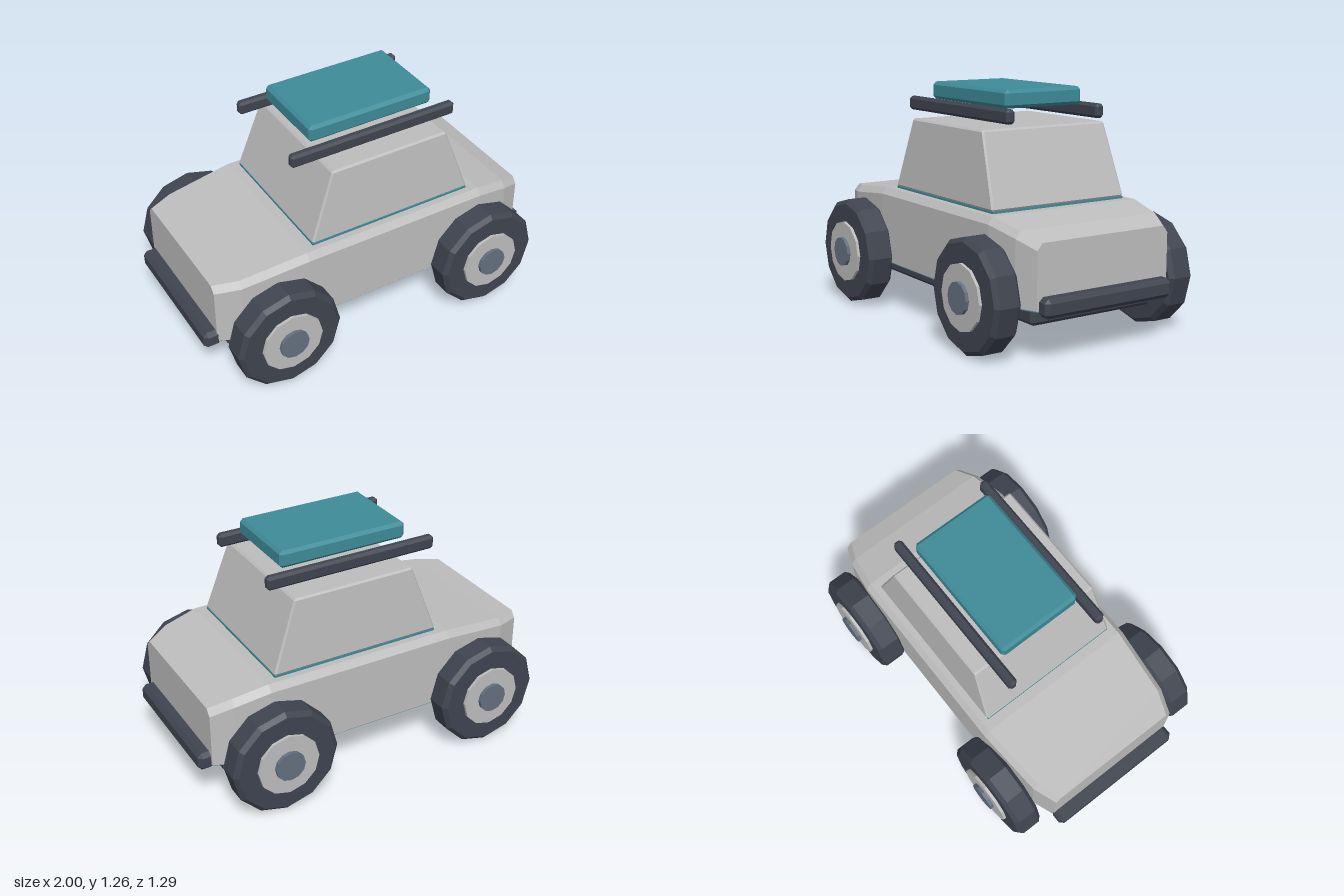
import * as THREE from 'three';
import { ConvexGeometry } from 'three/addons/geometries/ConvexGeometry.js';

const material = (name, color) => {
  const m = new THREE.MeshStandardMaterial({ color });
  m.name = name;
  return m;
};

// Box between two corners with chamfered edges; shape() can move each corner
function chamferBox(min, max, c, shape = (p) => p) {
  const points = [];
  for (const sx of [0, 1]) for (const sy of [0, 1]) for (const sz of [0, 1]) {
    const side = [sx, sy, sz];
    for (let flush = 0; flush < 3; flush++) {
      const p = side.map((s, i) => (s ? max[i] : min[i]) + (i === flush ? 0 : s ? -c : c));
      points.push(shape(new THREE.Vector3(...p)));
    }
  }
  return new ConvexGeometry(points);
}

// Faceted skin through rings of equal length, capped at both ends
function loft(rings) {
  const pos = [];
  const tri = (a, b, c) => pos.push(...a, ...b, ...c);
  const n = rings[0].length;
  for (let i = 0; i < rings.length - 1; i++) {
    for (let j = 0; j < n; j++) {
      const k = (j + 1) % n;
      const [a, b, c, d] = [rings[i][j], rings[i][k], rings[i + 1][k], rings[i + 1][j]];
      tri(a, b, c);
      tri(a, c, d);
    }
  }
  const first = rings[0], last = rings[rings.length - 1];
  for (let j = 1; j < n - 1; j++) {
    tri(first[0], first[j + 1], first[j]);
    tri(last[0], last[j], last[j + 1]);
  }
  const g = new THREE.BufferGeometry();
  g.setAttribute('position', new THREE.Float32BufferAttribute(pos, 3));
  g.computeVertexNormals();
  return g;
}

export function createModel() {
  const car = new THREE.Group();
  car.name = 'car';
  const paint = material('light grey paint', 0xbdbdbd);
  const teal = material('teal', 0x3d8b98);
  const dark = material('dark rubber', 0x3f444f);
  const cap = material('slate metal', 0x647080);

  const add = (name, geometry, mat, parent = car) => {
    const mesh = new THREE.Mesh(geometry, mat);
    mesh.name = name;
    parent.add(mesh);
    return mesh;
  };

  // Body stations along the length: x, half width, top height
  const stations = [
    [-0.93, 0.39, 0.62], [-0.8, 0.44, 0.632], [-0.43, 0.473, 0.675],
    [0.63, 0.473, 0.675], [0.82, 0.445, 0.635], [0.935, 0.4, 0.592],
  ];
  const bottom = 0.267;
  add('body', loft(stations.map(([x, w, top]) => [
    [x, bottom, w], [x, bottom, -w], [x, top - 0.035, -w],
    [x, top, -w + 0.03], [x, top, w - 0.03], [x, top - 0.035, w],
  ])), paint);

  // Teal floor under the body
  add('floor', loft(stations.map(([x, w]) => [
    [x, 0.26, w - 0.006], [x, 0.26, -w + 0.006],
    [x, bottom + 0.001, -w + 0.006], [x, bottom + 0.001, w - 0.006],
  ])), teal);

  // Underframe
  add('chassis', chamferBox([-0.86, 0.17, -0.373], [0.86, 0.27, 0.373], 0.018), dark);

  // Cabin narrowing towards the roof, with a thin teal seam below it
  const cabinShape = (p) => {
    const t = (p.y - 0.685) / (1.07 - 0.685);
    p.x = 0.1 + (p.x - 0.1) * (1 - 0.29 * t);
    p.z *= 1 - 0.075 * t;
    return p;
  };
  add('cabin', chamferBox([-0.38, 0.685, -0.412], [0.58, 1.07, 0.412], 0.01, cabinShape), paint);
  const seam = add('cabinSeam', new THREE.BoxGeometry(0.95, 0.012, 0.815), teal);
  seam.position.set(0.1, 0.68, 0);

  // Roof rails and luggage
  for (const s of [1, -1]) {
    const z = 0.277 * s;
    add(s > 0 ? 'frontRail' : 'backRail',
      chamferBox([-0.425, 1.1, z - 0.025], [0.545, 1.174, z + 0.025], 0.014), dark);
  }
  add('luggage', chamferBox([-0.285, 1.166, -0.236], [0.44, 1.26, 0.236], 0.017), teal);

  // Bumpers at both ends
  add('rightBumper', chamferBox([-1, 0.235, -0.395], [-0.905, 0.334, 0.395], 0.022), dark);
  add('leftBumper', chamferBox([0.91, 0.235, -0.388], [1, 0.334, 0.388], 0.022), dark);

  // Wheels: faceted tyre, hub and cap, turned to face outwards
  const faceted = (g) => {
    const flat = g.index ? g.toNonIndexed() : g;
    flat.computeVertexNormals();
    return flat;
  };
  const disc = (radius, from, to, sides) => {
    const g = new THREE.CylinderGeometry(radius, radius, to - from, sides);
    g.translate(0, (from + to) / 2, 0);
    g.rotateX(Math.PI / 2);
    return faceted(g);
  };
  const tyreProfile = [[0, 0.46], [0.272, 0.46], [0.295, 0.482], [0.295, 0.588], [0.272, 0.61], [0, 0.61]]
    .map(([r, y]) => new THREE.Vector2(r, y));
  const tyre = faceted(new THREE.LatheGeometry(tyreProfile, 12).rotateX(Math.PI / 2));
  const hub = disc(0.17, 0.605, 0.626, 12);
  const hubCap = disc(0.082, 0.61, 0.645, 12);
  for (const x of [-0.617, 0.617]) {
    for (const s of [1, -1]) {
      const wheel = new THREE.Group();
      wheel.name = (s > 0 ? 'front' : 'back') + (x > 0 ? 'Left' : 'Right') + 'Wheel';
      add('tyre', tyre, dark, wheel);
      add('hub', hub, paint, wheel);
      add('hubCap', hubCap, cap, wheel);
      wheel.position.set(x, 0.298, 0);
      wheel.rotation.y = s > 0 ? 0 : Math.PI;
      car.add(wheel);
    }
  }
  return car;
}
